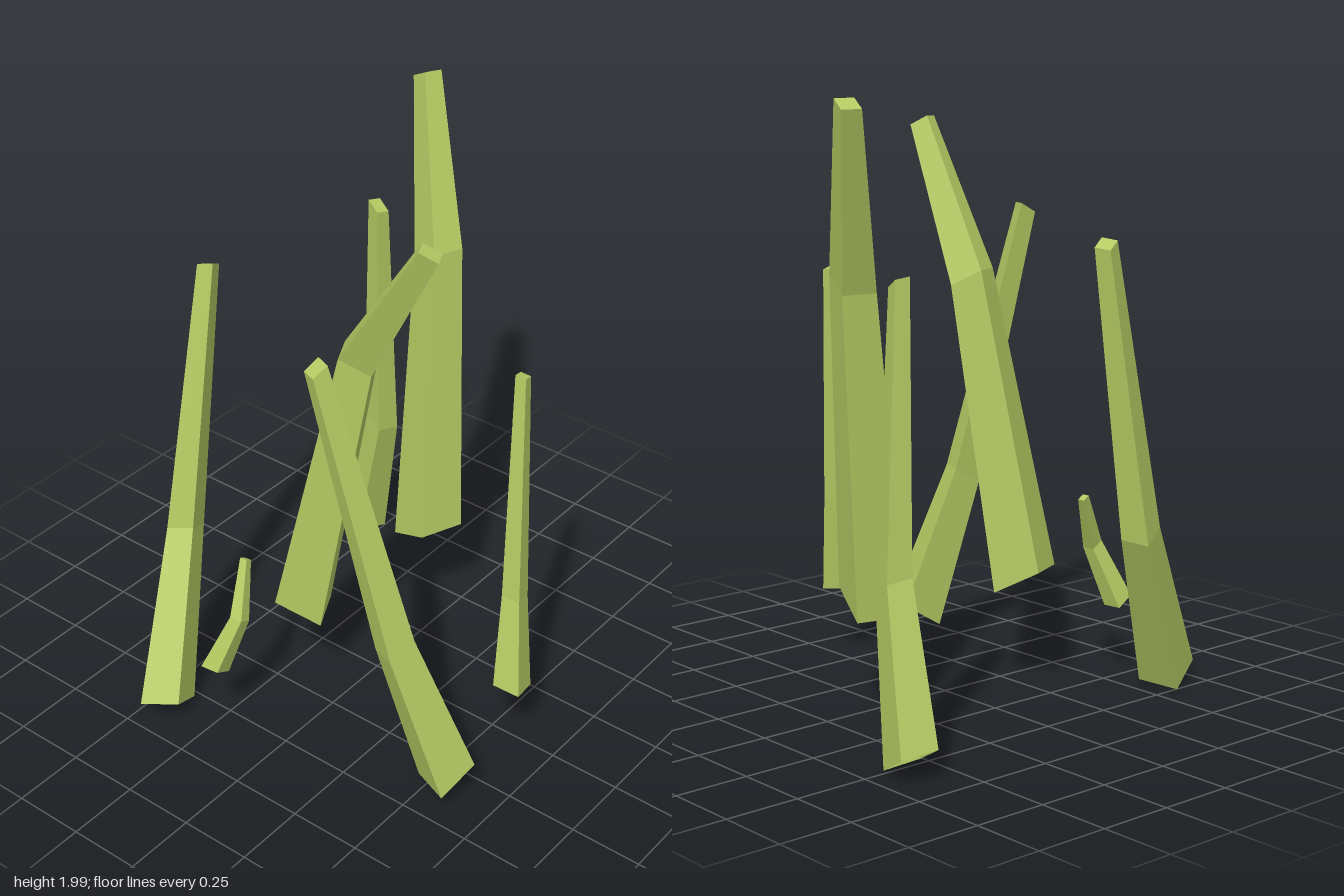
import * as THREE from 'three';

// Each blade is an open-bottomed, bent four-sided tube with three parallel sections.
// base, mid, tip: section centres; u, v: edge vectors of the base section.
const BLADES = [
  { name: 'tallRightBlade', base: [0.35, 0.385, -0.048], mid: [0.474, 1.425, -0.115], tip: [0.62, 1.98, -0.28],
    u: [0.155, -0.005, 0.055], v: [0.053, -0.08, -0.16] },
  { name: 'tallCentreBlade', base: [-0.233, 0.38, -0.138], mid: [-0.165, 1.385, 0.053], tip: [-0.215, 1.89, 0.365],
    u: [-0.14, -0.005, 0.07], v: [0.075, -0.08, 0.135] },
  { name: 'frontLeaningBlade', base: [-0.358, 0.1, 0.57], mid: [-0.46, 0.62, 0.432], tip: [-0.537, 1.588, 0.193],
    u: [0.05, 0, -0.13], v: [-0.125, -0.08, -0.04] },
  { name: 'backRightBlade', base: [0.637, 0.058, -0.578], mid: [0.6, 0.56, -0.457], tip: [0.555, 1.465, -0.433],
    u: [-0.115, 0.02, -0.035], v: [-0.04, -0.07, 0.13] },
  { name: 'backLeaningBlade', base: [-0.63, 0.05, -0.42], mid: [-0.37, 0.585, -0.54], tip: [-0.2, 1.535, -0.535],
    u: [0.06, 0.02, 0.12], v: [0.125, -0.07, -0.045] },
  { name: 'frontThinBlade', base: [-0.038, 0.26, 0.598], mid: [0.008, 0.59, 0.563], tip: [0.06, 1.395, 0.523],
    u: [0.017, -0.015, 0.09], v: [0.108, -0.03, -0.025] },
  { name: 'smallBlade', base: [-0.588, 0.262, -0.228], mid: [-0.52, 0.46, -0.17], tip: [-0.435, 0.64, -0.21],
    u: [0.007, 0, 0.065], v: [0.062, -0.035, -0.005] },
];

const TAPER = [1, 0.68, 0.39];
const CORNERS = [[-0.5, -0.5], [0.5, -0.5], [0.5, 0.5], [-0.5, 0.5]];

function bladeGeometry({ base, mid, tip, u, v }) {
  const U = new THREE.Vector3(...u);
  const V = new THREE.Vector3(...v);
  const rings = [base, mid, tip].map((centre, i) =>
    CORNERS.map(([a, b]) => new THREE.Vector3(...centre)
      .addScaledVector(U, a * TAPER[i])
      .addScaledVector(V, b * TAPER[i])));

  const points = [];
  const quad = (a, b, c, d) => points.push(a, b, c, a, c, d);
  // Side walls
  for (let i = 0; i < 2; i++) {
    for (let j = 0; j < 4; j++) {
      const k = (j + 1) % 4;
      quad(rings[i][j], rings[i][k], rings[i + 1][k], rings[i + 1][j]);
    }
  }
  // Tip cap
  quad(...rings[2]);

  const geometry = new THREE.BufferGeometry().setFromPoints(points);
  geometry.computeVertexNormals();
  return geometry;
}

export function createModel() {
  const group = new THREE.Group();
  group.name = 'grassTuft';
  const grass = new THREE.MeshStandardMaterial({ color: 0xb5c962, side: THREE.DoubleSide, flatShading: true });
  grass.name = 'grassGreen';
  for (const blade of BLADES) {
    const mesh = new THREE.Mesh(bladeGeometry(blade), grass);
    mesh.name = blade.name;
    group.add(mesh);
  }
  return group;
}
